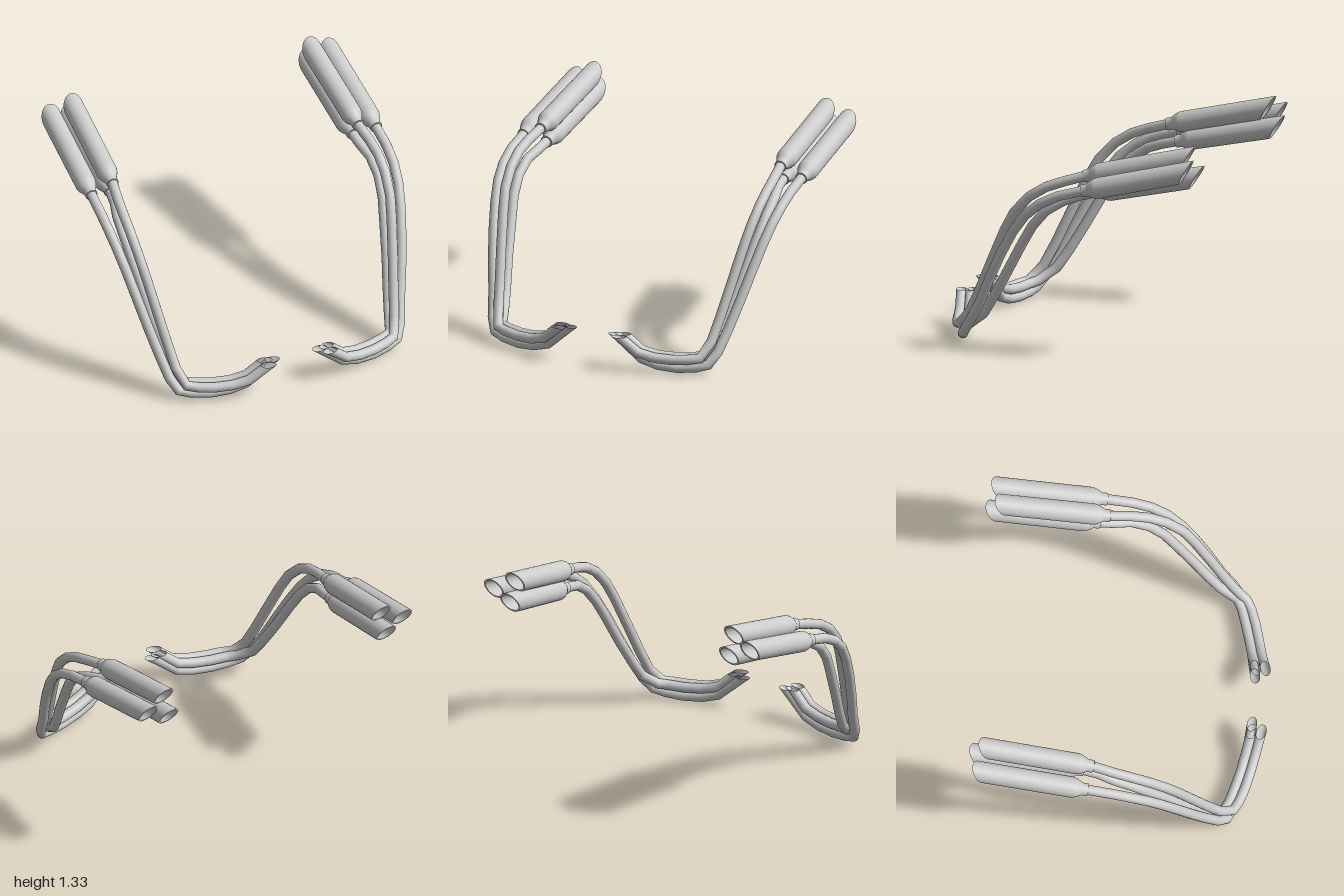
import * as THREE from 'three';

const material = new THREE.MeshStandardMaterial({ color: 0xcccccc, side: THREE.DoubleSide });
const PIPE_R = 0.031, NECK_R = 0.039, CAN_R = 0.065, BORE_R = 0.055;

// Each run: pipe centreline from the front flange to the silencer, and the centre of the slanted outlet.
const runs = [
  {
    name: 'outer',
    path: [[0.155, 0.215, 0.80], [0.32, 0.072, 0.775], [0.42, 0.042, 0.76], [0.54, 0.032, 0.735], [0.65, 0.042, 0.705],
      [0.725, 0.062, 0.68], [0.765, 0.135, 0.63], [0.80, 0.27, 0.55], [0.84, 0.43, 0.475], [0.878, 0.60, 0.39],
      [0.91, 0.755, 0.30], [0.932, 0.865, 0.215], [0.945, 0.945, 0.115], [0.948, 1.0, 0], [0.945, 1.042, -0.155]],
    outlet: [0.925, 1.195, -0.815],
  },
  {
    name: 'upperInner',
    path: [[0.205, 0.222, 0.86], [0.32, 0.125, 0.83], [0.42, 0.1, 0.808], [0.53, 0.094, 0.78], [0.62, 0.1, 0.75],
      [0.685, 0.108, 0.715], [0.725, 0.20, 0.635], [0.75, 0.34, 0.565], [0.782, 0.53, 0.48], [0.815, 0.735, 0.385],
      [0.835, 0.86, 0.315], [0.845, 0.965, 0.215], [0.845, 1.03, 0.11], [0.835, 1.07, 0], [0.815, 1.108, -0.13]],
    outlet: [0.792, 1.257, -0.785],
  },
  {
    name: 'lowerInner',
    path: [[0.205, 0.222, 0.80], [0.32, 0.125, 0.772], [0.42, 0.1, 0.75], [0.53, 0.094, 0.72], [0.62, 0.1, 0.693],
      [0.685, 0.108, 0.66], [0.725, 0.19, 0.55], [0.75, 0.305, 0.475], [0.782, 0.46, 0.385], [0.815, 0.665, 0.27],
      [0.835, 0.78, 0.2], [0.845, 0.882, 0.11], [0.84, 0.95, 0], [0.815, 0.985, -0.1], [0.805, 1.007, -0.19]],
    outlet: [0.792, 1.14, -0.84],
  },
];

const toVec = ([x, y, z], side) => new THREE.Vector3(x * side, y, z);

// Bent pipe with one ring per centreline point and a level cut at the front end
function makePipe(points) {
  const curve = new THREE.CatmullRomCurve3(points, false, 'centripetal');
  curve.getPointAt = curve.getPoint;
  curve.getTangentAt = curve.getTangent;
  const sides = 16;
  const geometry = new THREE.TubeGeometry(curve, points.length - 1, PIPE_R, sides);
  const pos = geometry.attributes.position;
  const t = curve.getTangent(0);
  for (let i = 0; i <= sides; i++) {
    const v = new THREE.Vector3().fromBufferAttribute(pos, i);
    v.addScaledVector(t, (points[0].y - v.y) / t.y);
    pos.setXYZ(i, v.x, v.y, v.z);
  }
  return new THREE.Mesh(geometry, material);
}

// Hollow silencer: neck, flare, body and a slanted open outlet
function makeSilencer(inlet, outlet) {
  const axis = outlet.clone().sub(inlet);
  const length = axis.length();
  axis.normalize();
  const profile = [
    [PIPE_R - 0.004, 0], [NECK_R, 0], [NECK_R, 0], [NECK_R, 0.035], [0.048, 0.05], [0.061, 0.08], [CAN_R, 0.1],
    [CAN_R, 0.3], [CAN_R, length], [CAN_R, length], [BORE_R, length], [BORE_R, length],
    [BORE_R, 0.14], [0.001, 0.14],
  ].map(([r, y]) => new THREE.Vector2(r, y));
  const geometry = new THREE.LatheGeometry(profile, 24);
  const pos = geometry.attributes.position;
  for (let i = 0; i < pos.count; i++) {
    if (pos.getY(i) > length - 0.001) pos.setY(i, pos.getY(i) + pos.getZ(i) * 0.95);
  }
  // Local y runs along the silencer, local z points upward
  const up = new THREE.Vector3(1, 0, 0).cross(axis).normalize();
  const across = axis.clone().cross(up);
  const mesh = new THREE.Mesh(geometry, material);
  mesh.quaternion.setFromRotationMatrix(new THREE.Matrix4().makeBasis(across, axis, up));
  mesh.position.copy(inlet);
  return mesh;
}

export function createModel() {
  const model = new THREE.Group();
  model.name = 'exhaustPipes';
  for (const [sideName, side] of [['left', 1], ['right', -1]]) {
    const bank = new THREE.Group();
    bank.name = `${sideName}Exhaust`;
    for (const { name, path, outlet } of runs) {
      const points = path.map((p) => toVec(p, side));
      const pipe = makePipe(points);
      pipe.name = `${name}Pipe`;
      const silencer = makeSilencer(points[points.length - 1], toVec(outlet, side));
      silencer.name = `${name}Silencer`;
      bank.add(pipe, silencer);
    }
    model.add(bank);
  }
  return model;
}
